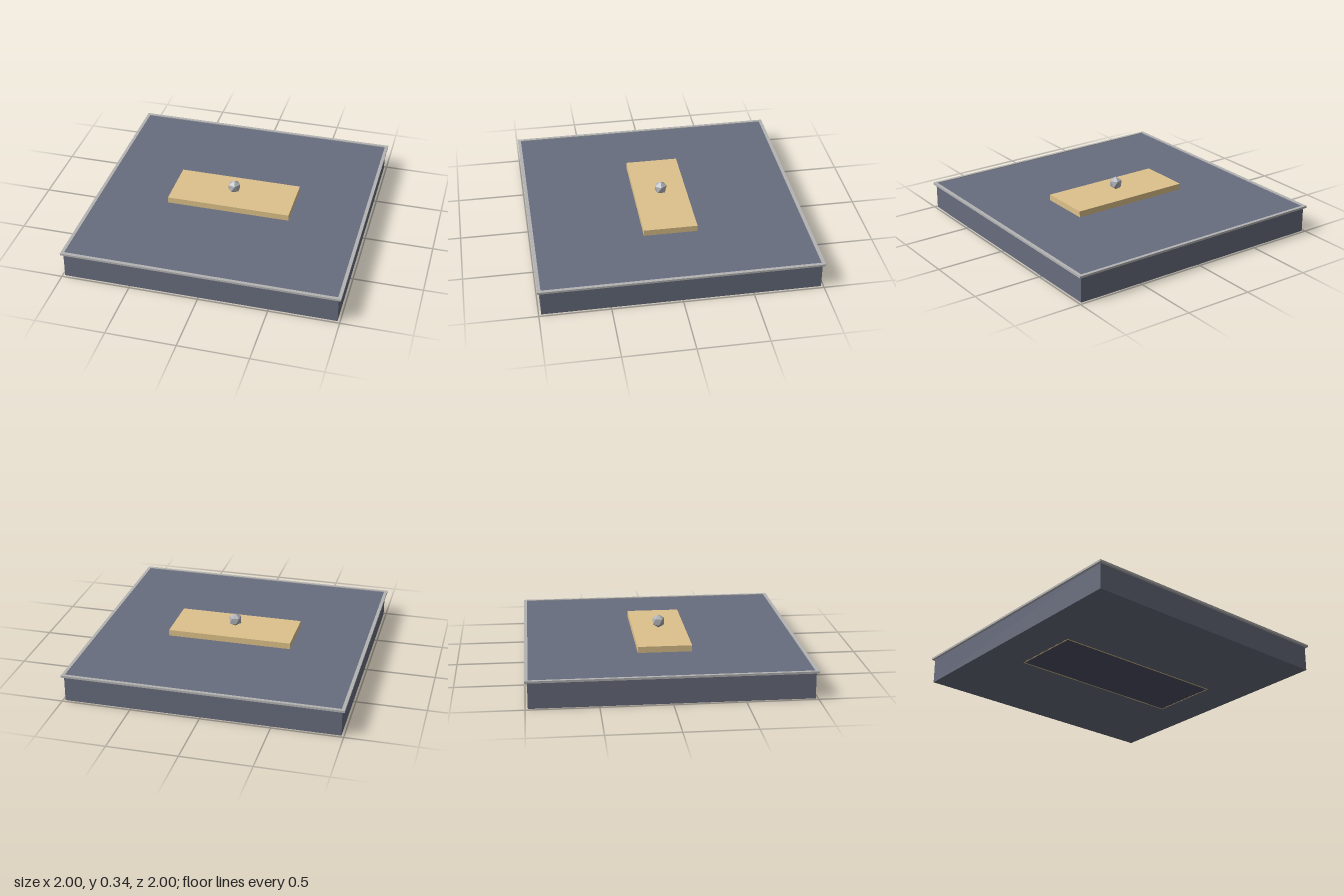
import * as THREE from 'three';

export function createModel() {
  const model = new THREE.Group();
  const material = (color, flatShading = false) => new THREE.MeshStandardMaterial({ color, flatShading });
  const slate = material(0x686d7e);
  const tan = material(0xdec28b);
  const grey = material(0xb4b4b4);
  const navy = material(0x4c4f64);

  function box(name, w, h, d, x, bottom, z, mat, parent = model) {
    const mesh = new THREE.Mesh(new THREE.BoxGeometry(w, h, d), mat);
    mesh.name = name;
    mesh.position.set(x, bottom + h / 2, z);
    parent.add(mesh);
    return mesh;
  }

  // Rectangular frame of four strips, given by its outer size
  function frame(name, w, d, strip, bottom, h, mat) {
    const group = new THREE.Group();
    group.name = name;
    for (const s of [-1, 1]) {
      box('longStrip', w, h, strip, 0, bottom, s * (d - strip) / 2, mat, group);
      box('endStrip', strip, h, d - 2 * strip, s * (w - strip) / 2, bottom, 0, mat, group);
    }
    model.add(group);
  }

  // Square slab with a thin lip round its top edge
  box('base', 1.964, 0.195, 1.964, 0, 0.001, 0, slate);
  frame('rim', 2, 2, 0.024, 0.187, 0.015, grey);

  // Inset panel and its thin border on the underside
  box('undersidePanel', 1.34, 0.01, 0.5, 0, 0.0004, 0, navy);
  frame('undersideBorder', 1.36, 0.52, 0.01, 0, 0.01, tan);

  // Raised plate in the middle
  box('plate', 0.914, 0.046, 0.39, 0, 0.195, 0, tan);

  // Faceted ball standing on one vertex
  const ballGeometry = new THREE.IcosahedronGeometry(0.05, 0);
  ballGeometry.rotateZ(-Math.atan(2 / (1 + Math.sqrt(5))));
  const ball = new THREE.Mesh(ballGeometry, material(0xb0b1b5, true));
  ball.name = 'ball';
  ball.position.y = 0.291;
  model.add(ball);

  return model;
}
